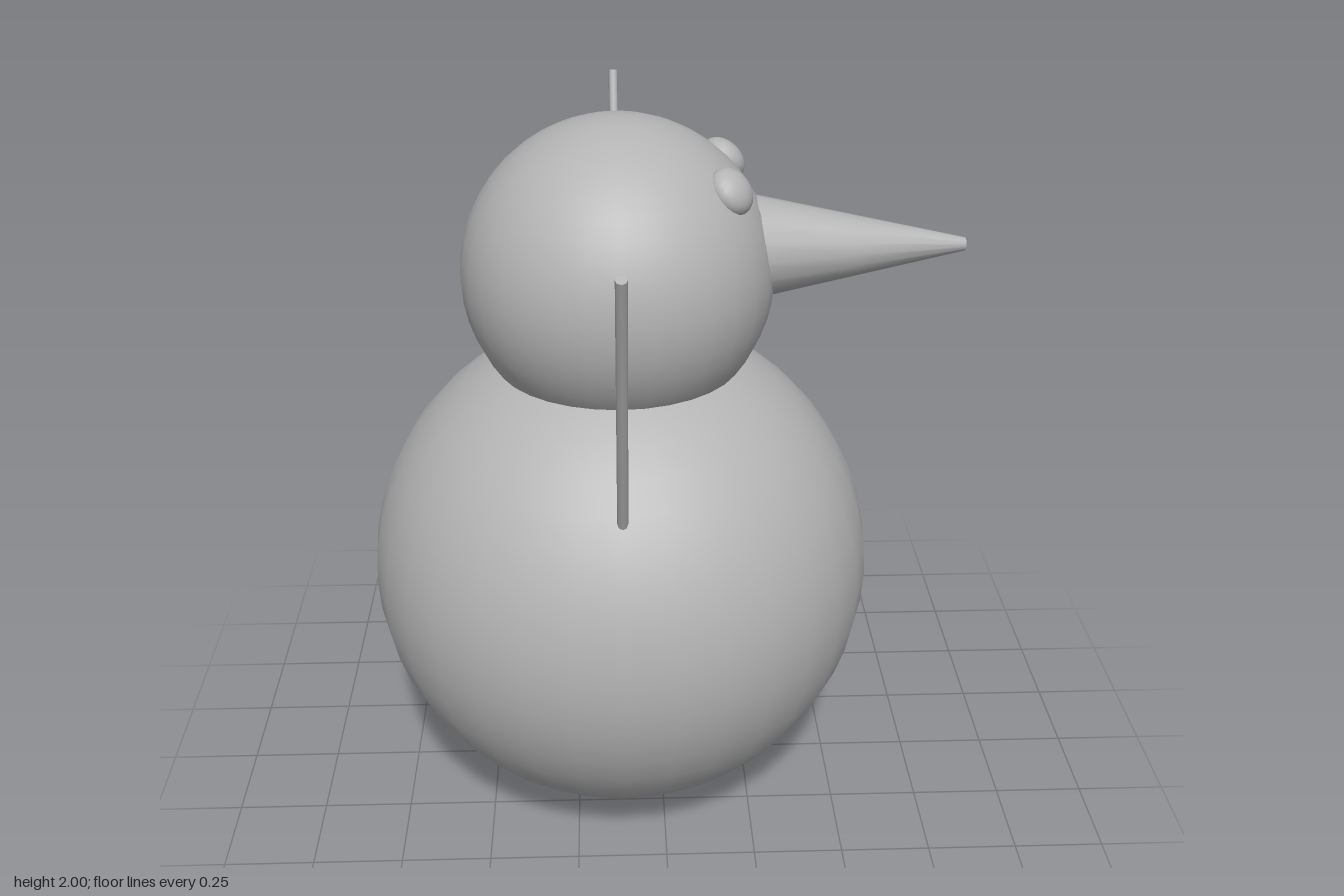
import * as THREE from 'three';

const CX = -0.115; // shared vertical axis of body and head

export function createModel() {
  const group = new THREE.Group();
  const grey = new THREE.MeshStandardMaterial({ color: 0xb4b4b4 });
  grey.name = 'grey';

  const add = (name, geometry, x, y, z) => {
    const mesh = new THREE.Mesh(geometry, grey);
    mesh.name = name;
    mesh.position.set(x, y, z);
    group.add(mesh);
    return mesh;
  };

  // Two stacked snowballs
  add('body', new THREE.SphereGeometry(0.705, 32, 24), CX, 0.708, 0);
  const headCentre = new THREE.Vector3(CX, 1.58, 0);
  add('head', new THREE.SphereGeometry(0.42, 32, 24), ...headCentre);

  // Blunt-tipped carrot nose pointing along +x, its base sunk in the head
  const nose = add('nose', new THREE.CylinderGeometry(0.0175, 0.15, 0.62, 16, 2), 0.505, 1.645, 0);
  nose.rotation.z = -Math.PI / 2;

  for (const side of [1, -1]) {
    const label = side > 0 ? 'left' : 'right';

    // Flattened button eye lying on the head surface
    const normal = new THREE.Vector3(0.29, 0.265, side * 0.145).normalize();
    const eyeAt = normal.clone().multiplyScalar(0.416).add(headCentre);
    const eye = add(label + 'Eye', new THREE.SphereGeometry(0.066, 20, 14), ...eyeAt);
    eye.scale.y = 0.7;
    eye.quaternion.setFromUnitVectors(THREE.Object3D.DEFAULT_UP, normal);

    // Thin stick arm raised outward from the shoulder
    const start = new THREE.Vector3(CX, 1.09, side * 0.553);
    const end = new THREE.Vector3(CX, 1.897, side * 0.897);
    const along = end.clone().sub(start);
    const middle = start.clone().add(end).multiplyScalar(0.5);
    const arm = add(label + 'Arm', new THREE.CylinderGeometry(0.014, 0.014, along.length(), 8), ...middle);
    arm.quaternion.setFromUnitVectors(THREE.Object3D.DEFAULT_UP, along.normalize());
  }

  return group;
}
